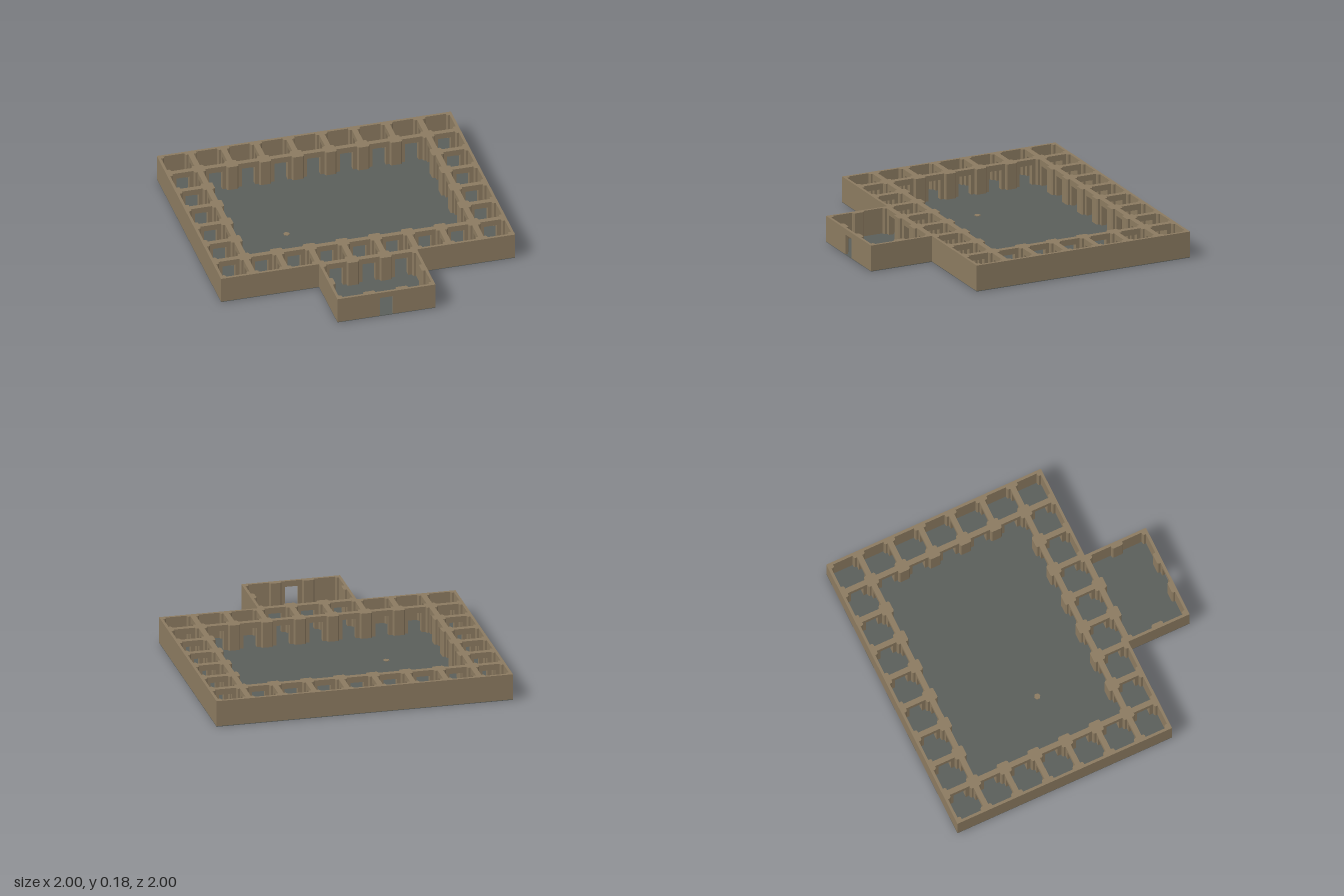
import * as THREE from 'three';

const S = 2 / 9;        // module size
const T = 0.0185;       // half thickness of a wall
const P = 0.04;         // half width of a pillar
const H = 0.18, F = 0.004; // total height, floor thickness

const stone = new THREE.MeshStandardMaterial({ color: 0x8b7a60 });
stone.name = 'brown stone';
const slate = new THREE.MeshStandardMaterial({ color: 0x5a5e5a });
slate.name = 'grey slate';

// Room on module (i, j): small cells ring a courtyard, a hall juts out in front
function roomAt(i, j) {
  if (j >= 7 && j < 9) return i >= 3 && i <= 5 ? 'hall' : null;
  if (i < 0 || i > 8 || j < 0 || j > 8) return null;
  if (i > 0 && i < 8 && j > 0 && j < 6) return 'courtyard';
  return `cell${i}_${j}`;
}

// Half wall on the +z side of a module, with or without a doorway
function wallGeometry(door) {
  const w = S / 2, d = 0.045, top = 0.14;
  const pts = door
    ? [[-w, F], [-d, F], [-d, top], [d, top], [d, F], [w, F], [w, H], [-w, H]]
    : [[-w, F], [w, F], [w, H], [-w, H]];
  const shape = new THREE.Shape(pts.map(([x, y]) => new THREE.Vector2(x, y)));
  const g = new THREE.ExtrudeGeometry(shape, { depth: T, bevelEnabled: false });
  return g.translate(0, 0, S / 2 - T);
}

// Quarter pillar in the +x +z corner, chamfered towards the room
function pillarGeometry() {
  const a = S / 2, b = a - P, c = 0.008;
  const pts = [[a, -a], [a, -b], [b + c, -b], [b, -b - c], [b, -a]];
  const shape = new THREE.Shape(pts.map(([x, y]) => new THREE.Vector2(x, y)));
  const g = new THREE.ExtrudeGeometry(shape, { depth: H - F, bevelEnabled: false });
  return g.rotateX(-Math.PI / 2).translate(0, F, 0);
}

function add(parent, name, geometry, material, x = 0, y = 0, z = 0) {
  const mesh = new THREE.Mesh(geometry, material);
  mesh.name = name;
  mesh.position.set(x, y, z);
  parent.add(mesh);
  return mesh;
}

export function createModel() {
  const model = new THREE.Group();
  model.name = 'courtyardBuilding';
  const solid = wallGeometry(false), doorway = wallGeometry(true), pillar = pillarGeometry();
  const sides = [[0, 1], [1, 0], [0, -1], [-1, 0]];

  // Walls and corner pillars, module by module
  for (let j = 0; j < 9; j++) for (let i = 0; i < 9; i++) {
    const room = roomAt(i, j);
    if (!room) continue;
    const module = new THREE.Group();
    module.name = room.startsWith('cell') ? 'cellWalls' : room + 'Walls';
    module.position.set((i - 4) * S, 0, -1 + (j + 0.5) * S);
    const corners = new Set();
    sides.forEach(([dx, dz], k) => {
      const next = roomAt(i + dx, j + dz);
      if (next === room) return;
      const entrance = i === 4 && j === 8 && k === 0;
      const open = next || entrance;
      const wall = add(module, open ? 'doorwayWall' : 'wall', open ? doorway : solid, stone);
      wall.rotation.y = k * Math.PI / 2;
      corners.add(k).add((k + 3) % 4);
    });
    for (const k of corners) add(module, 'pillar', pillar, stone).rotation.y = k * Math.PI / 2;
    if (module.children.length) model.add(module);
  }

  // Floors
  add(model, 'mainFloor', new THREE.BoxGeometry(2, F, 7 * S), slate, 0, F / 2, -1 + 3.5 * S);
  add(model, 'hallFloor', new THREE.BoxGeometry(3 * S, F, 2 * S), slate, 0, F / 2, 1 - S);

  // Small stone set in the courtyard floor
  add(model, 'floorStone', new THREE.CylinderGeometry(0.022, 0.022, 0.004, 6), stone, -0.365, F + 0.001, -0.12);
  return model;
}
